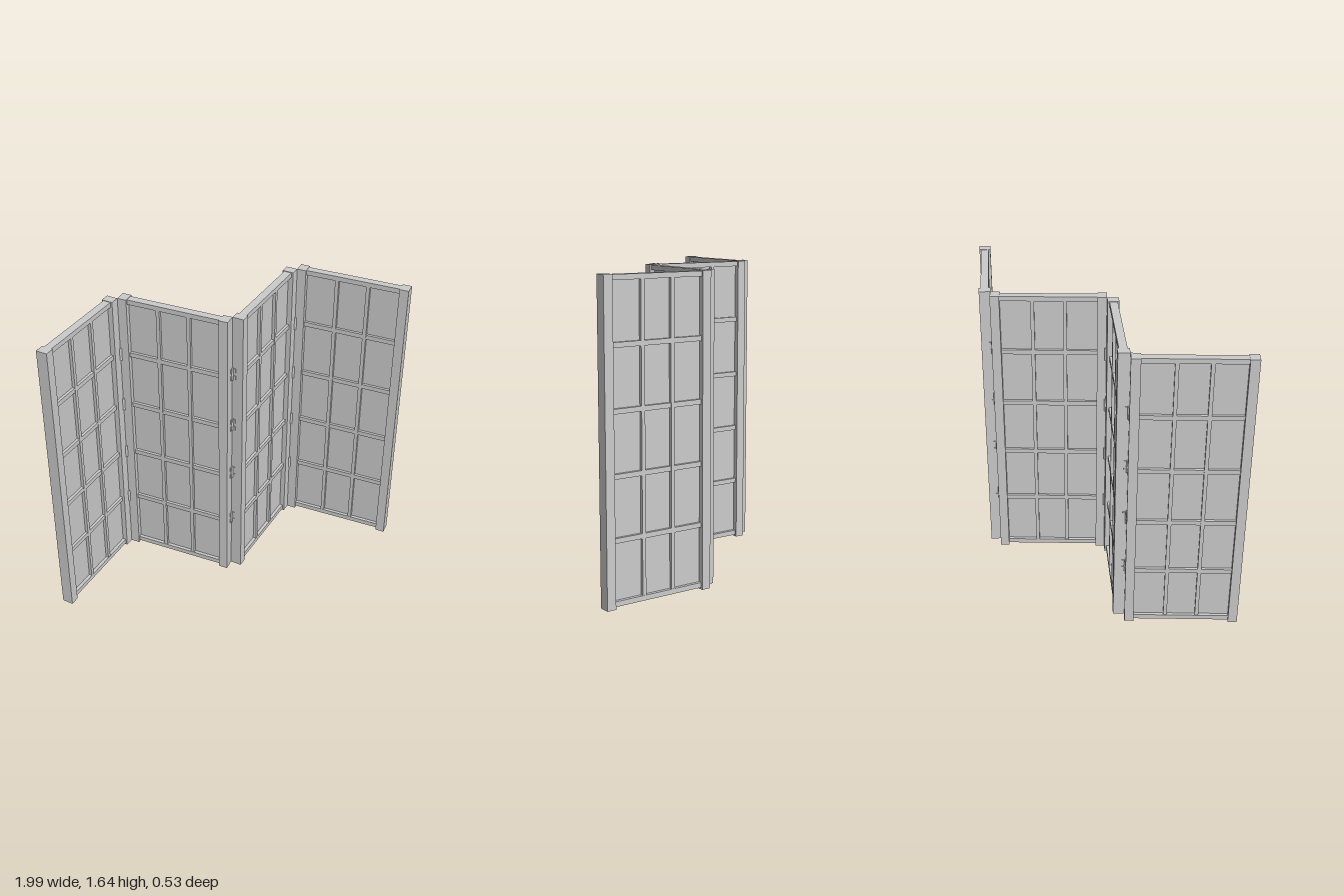
import * as THREE from 'three';

const HEIGHT = 1.64, WIDTH = 0.62;       // one folding panel, post to post
const POST_W = 0.05, POST_D = 0.062;
const ROWS = [0.344, 0.664, 0.984, 1.304]; // heights of cross bars and hinges

export function createModel() {
  const material = new THREE.MeshStandardMaterial({ color: 0xcccccc, flatShading: true });
  const screen = new THREE.Group();
  screen.name = 'foldingScreen';

  const add = (parent, name, geometry, x, y, z) => {
    const mesh = new THREE.Mesh(geometry, material);
    mesh.name = name;
    mesh.position.set(x, y, z);
    parent.add(mesh);
    return mesh;
  };
  const box = (parent, name, w, h, d, x, y, z = 0) =>
    add(parent, name, new THREE.BoxGeometry(w, h, d), x, y, z);

  // One panel, centred on its own x axis
  function makePanel() {
    const panel = new THREE.Group();
    const inner = WIDTH - 2 * POST_W;
    for (const s of [-1, 1]) {
      box(panel, 'post', POST_W, HEIGHT, POST_D, s * (WIDTH - POST_W) / 2, HEIGHT / 2, 0);
      box(panel, 'mullion', 0.02, 1.59, 0.04, s * inner / 6, 0.824);
    }
    box(panel, 'board', inner, 1.6, 0.006, 0, 0.824);
    box(panel, 'bottomRail', inner, 0.027, 0.043, 0, 0.024);
    box(panel, 'topRail', inner, 0.027, 0.043, 0, 1.624);
    for (const y of ROWS) box(panel, 'crossBar', inner, 0.026, 0.036, 0, y);
    return panel;
  }

  // Knuckles on the corner where two posts meet
  function addHinges(point) {
    for (const y of ROWS)
      add(screen, 'hingeKnuckle', new THREE.CylinderGeometry(0.009, 0.009, 0.075, 12), point.x, y, point.z);
  }

  // Thin leaf tabs on the end face of a post, next to the pivot
  function addLeaves(panel, end, side) {
    for (const y of ROWS)
      for (const s of [-1, 1])
        box(panel, 'hingeLeaf', 0.003, 0.026, 0.02, end * (WIDTH / 2 + 0.001), y + s * 0.022, side * (POST_D / 2 - 0.011));
  }

  // Chain the panels: each pivot is a front (+1) or back (-1) post corner
  const UP = new THREE.Vector3(0, 1, 0);
  const corner = (end, side, angle) =>
    new THREE.Vector3(end * WIDTH / 2, 0, side * POST_D / 2).applyAxisAngle(UP, angle);
  const pivot = new THREE.Vector3(-0.954, 0, 0.26);
  for (let i = 0; i < 4; i++) {
    const angle = THREE.MathUtils.degToRad(i % 2 ? -40 : 45);
    const startSide = i === 0 || i % 2 ? 1 : -1;
    const endSide = i % 2 ? -1 : 1;
    const panel = makePanel();
    panel.name = 'panel' + (i + 1);
    panel.rotation.y = angle;
    panel.position.copy(pivot).sub(corner(-1, startSide, angle));
    if (i > 0) addLeaves(panel, -1, startSide);
    if (i < 3) addLeaves(panel, 1, endSide);
    screen.add(panel);
    pivot.copy(panel.position).add(corner(1, endSide, angle));
    if (i < 3) addHinges(pivot);
  }
  return screen;
}
